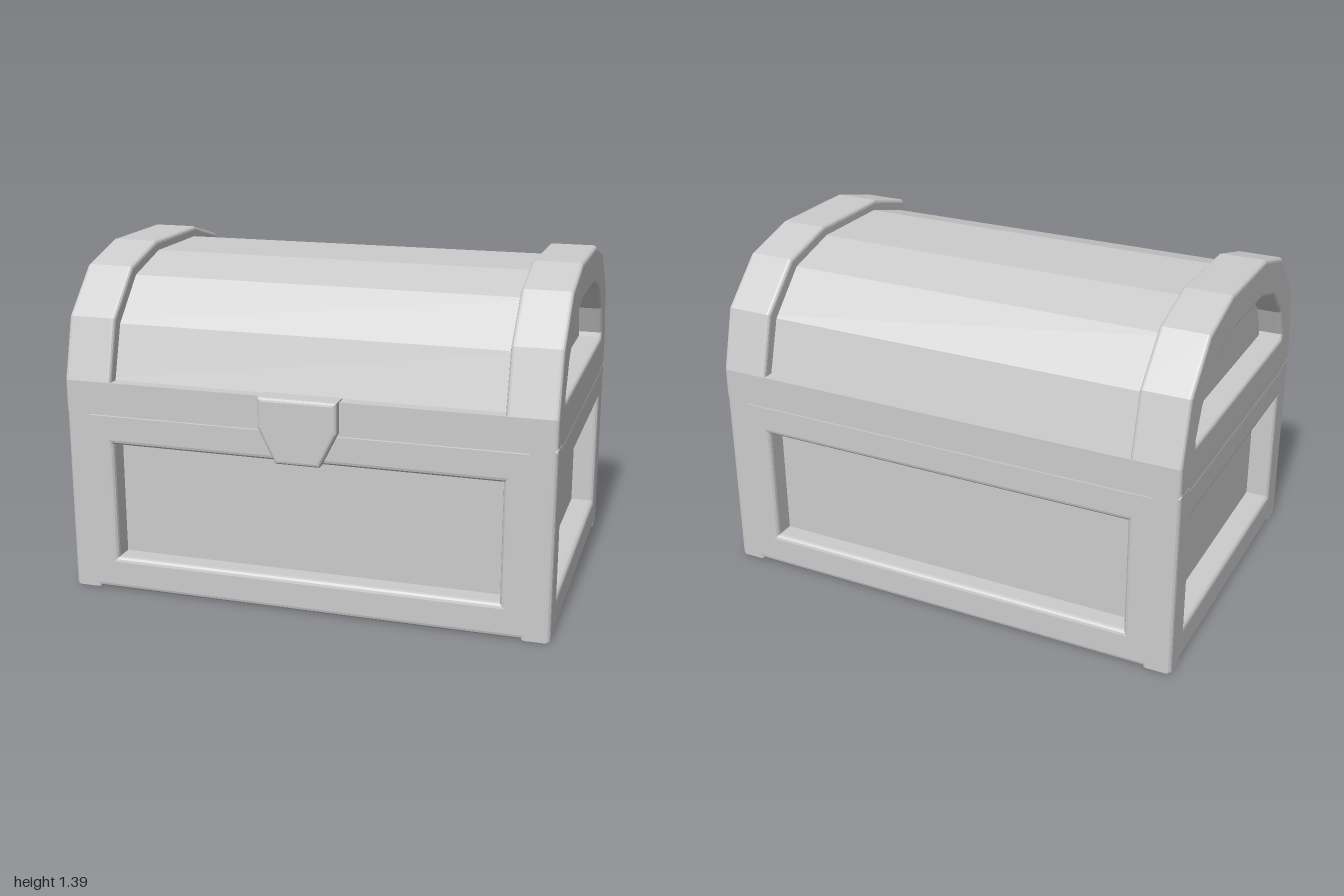
import * as THREE from 'three';

const material = new THREE.MeshStandardMaterial({ color: 0xcccccc, flatShading: true });
const BEVEL = 0.02;

// Half outline [x, y] from bottom to top, mirrored to a closed loop
const mirrored = (half) =>
  [...half, ...half.slice().reverse().map(([x, y]) => [-x, y])].map(([x, y]) => new THREE.Vector2(x, y));
const rect = (halfWidth, y0, y1) => mirrored([[halfWidth, y0], [halfWidth, y1]]);

// Bevelled plate whose outer face lies at z = 0, with an optional opening
function plate(name, outline, hole, depth, bevel = BEVEL) {
  const shape = new THREE.Shape(outline);
  if (hole) shape.holes.push(new THREE.Path(hole));
  const geometry = new THREE.ExtrudeGeometry(shape, {
    depth: depth - 2 * bevel, bevelEnabled: bevel > 0, bevelThickness: bevel,
    bevelSize: bevel, bevelOffset: -bevel, bevelSegments: 3,
  });
  geometry.translate(0, 0, bevel - depth);
  const mesh = new THREE.Mesh(geometry, material);
  mesh.name = name;
  return mesh;
}

function box(name, width, y0, y1, depth) {
  const mesh = new THREE.Mesh(new THREE.BoxGeometry(width, y1 - y0, depth), material);
  mesh.name = name;
  mesh.position.y = (y0 + y1) / 2;
  return mesh;
}

export function createModel() {
  const model = new THREE.Group();
  model.name = 'chest';
  const body = new THREE.Group();
  body.name = 'body';
  const lid = new THREE.Group();
  lid.name = 'lid';
  body.position.z = lid.position.z = -0.02;
  model.add(body, lid);

  // Recessed panels, floor and the flush joint with notched corners
  body.add(
    box('recessedPanels', 1.8, 0.05, 0.75, 1.22),
    box('floor', 1.95, 0, 0.1, 1.35),
    box('jointFrontBack', 1.95, 0.74, 0.8, 1.398),
    box('jointSides', 1.998, 0.74, 0.8, 1.35),
  );

  // Four framed walls
  for (const side of [1, -1]) {
    const wall = plate(side > 0 ? 'frontFrame' : 'backFrame', rect(1, 0, 0.77), rect(0.8, 0.14, 0.63), 0.12);
    wall.rotation.y = side > 0 ? 0 : Math.PI;
    wall.position.z = side * 0.7;
    const end = plate(side > 0 ? 'leftFrame' : 'rightFrame', rect(0.7, 0, 0.77), rect(0.555, 0.14, 0.63), 0.12);
    end.rotation.y = side * Math.PI / 2;
    end.position.x = side;
    body.add(wall, end);
  }

  // Faceted barrel of the lid; its ends form the floors of the arch recesses
  const barrel = plate('lidBarrel', mirrored([
    [0.65, 0.78], [0.65, 0.89], [0.585, 1.11], [0.42, 1.28], [0.19, 1.345],
  ]), null, 1.8, 0);
  barrel.rotation.y = Math.PI / 2;
  barrel.position.x = 0.9;
  lid.add(barrel, box('lidRail', 1.8, 0.77, 0.89, 1.4));

  // Arched end bands with a recess in the outer face
  const arch = mirrored([
    [0.7, 0.77], [0.7, 0.89], [0.632, 1.14], [0.452, 1.32], [0.21, 1.387],
  ]);
  const recess = mirrored([
    [0.545, 0.92], [0.55, 0.94], [0.495, 1.06], [0.367, 1.18], [0.178, 1.235],
  ]);
  for (const side of [1, -1]) {
    const band = plate(side > 0 ? 'leftArch' : 'rightArch', arch, recess, 0.2, 0.015);
    band.rotation.y = side * Math.PI / 2;
    band.position.x = side;
    lid.add(band);
  }

  // Tapered latch
  const latch = plate('latch', mirrored([[0.09, 0.63], [0.16, 0.77], [0.16, 0.895]]), null, 0.1, 0.015);
  latch.position.z = 0.722;
  model.add(latch);

  return model;
}
